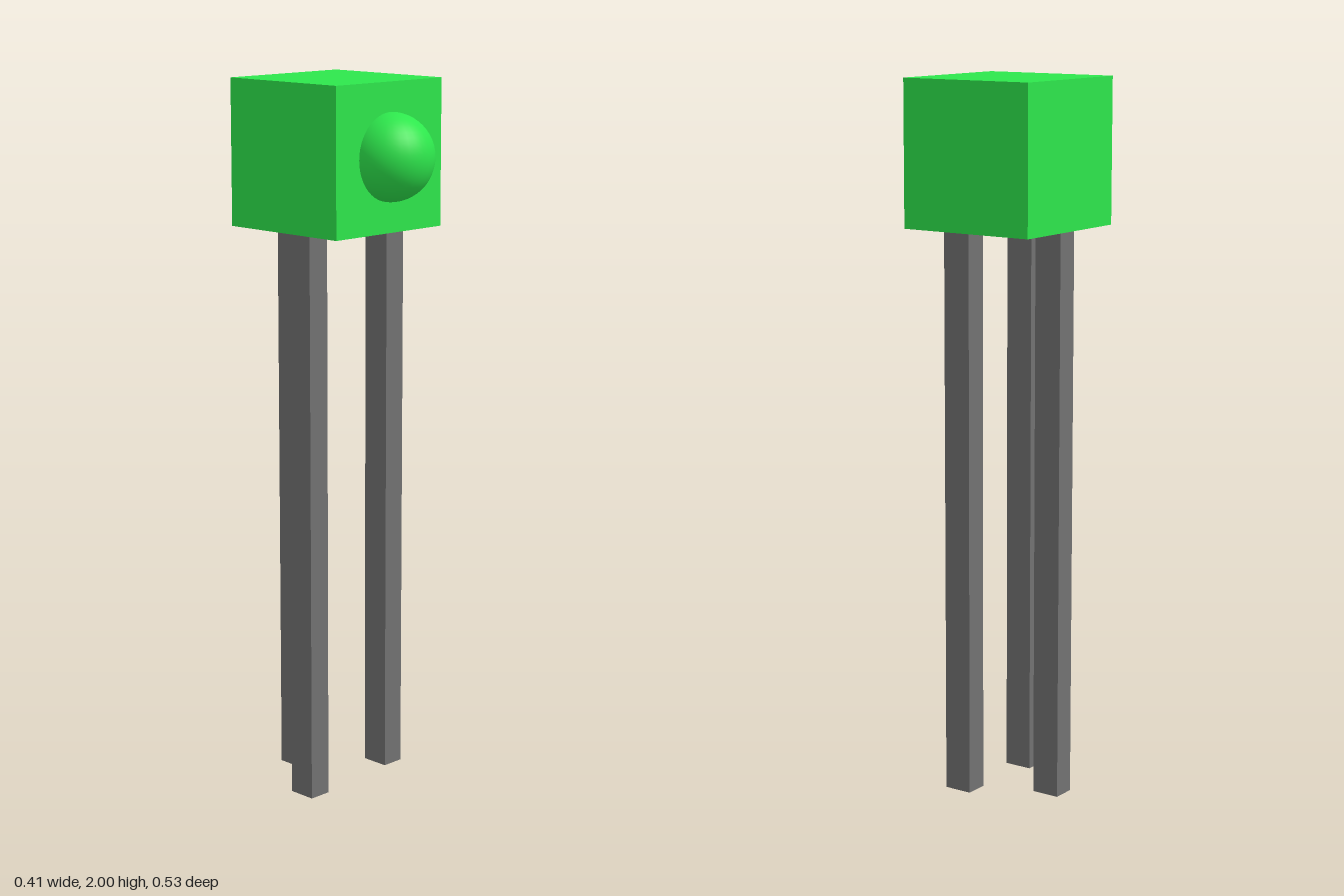
import * as THREE from 'three';

const green = new THREE.MeshStandardMaterial({ name: 'green', color: 0x2ee94d });
const grey = new THREE.MeshStandardMaterial({ name: 'grey', color: 0x727272 });

const TURN = -Math.PI / 180; // the blocks are turned by one degree

function block(name, size, position, material) {
  const mesh = new THREE.Mesh(new THREE.BoxGeometry(...size), material);
  mesh.name = name;
  mesh.position.set(...position);
  mesh.rotation.y = TURN;
  return mesh;
}

export function createModel() {
  const model = new THREE.Group();
  model.name = 'signalLight';

  // Housing
  model.add(block('housing', [0.404, 0.404, 0.404], [0, 1.798, -0.059], green));

  // Lens dome, half sunk into the front face
  const dome = new THREE.Mesh(new THREE.SphereGeometry(0.12, 32, 24), green);
  dome.name = 'lensDome';
  dome.position.set(0, 1.8, 0.143);
  model.add(dome);

  // Three pins: name, x, z, height of the lower end
  const top = 1.61;
  for (const [name, x, z, bottom] of [
    ['rightPin', -0.162, -0.009, 0],
    ['middlePin', -0.014, -0.2, 0],
    ['leftPin', 0.135, -0.004, 0.017],
  ]) {
    model.add(block(name, [0.066, top - bottom, 0.081], [x, (top + bottom) / 2, z], grey));
  }
  return model;
}
